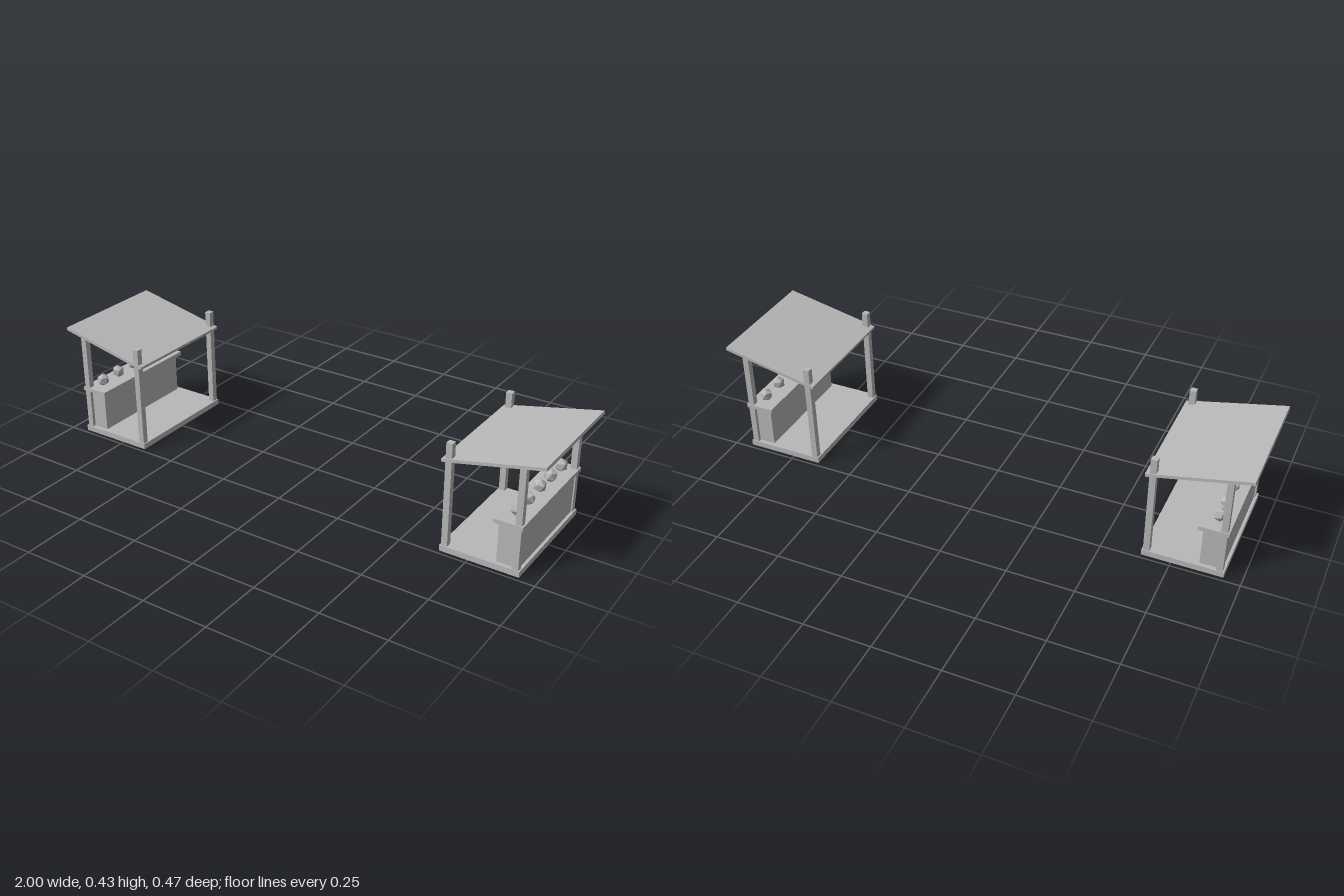
import * as THREE from 'three';

const grey = new THREE.MeshStandardMaterial({ color: 0xb8b8b8, flatShading: true });
grey.name = 'plain grey';

// Box given by its low and high corners
function box(parent, name, [x0, y0, z0], [x1, y1, z1]) {
  const mesh = new THREE.Mesh(new THREE.BoxGeometry(x1 - x0, y1 - y0, z1 - z0), grey);
  mesh.position.set((x0 + x1) / 2, (y0 + y1) / 2, (z0 + z1) / 2);
  mesh.name = name;
  parent.add(mesh);
  return mesh;
}

// One market stall whose counter faces +x
function createStall(name) {
  const stall = new THREE.Group();
  stall.name = name;

  // Floor slab
  box(stall, 'floor', [0.643, 0, -0.234], [0.937, 0.022, 0.234]);

  // Corner posts: the rear pair pokes up through the roof
  for (const side of [-1, 1]) {
    const z0 = side > 0 ? 0.208 : -0.231;
    box(stall, 'rearPost', [0.648, 0.022, z0], [0.671, 0.412, z0 + 0.023]);
    box(stall, 'frontPost', [0.908, 0.022, z0], [0.931, 0.4, z0 + 0.023]);
  }

  // Counter between the front posts
  box(stall, 'counterBody', [0.846, 0.022, -0.218], [0.926, 0.176, 0.218]);
  box(stall, 'counterTop', [0.83, 0.176, -0.234], [0.937, 0.191, 0.234]);

  // Sloping roof
  const roof = box(stall, 'roof', [0.63, 0.3767, -0.234], [1.002, 0.3883, 0.234]);
  roof.rotation.z = 0.211;

  // Row of faceted stones, each turned differently
  const tops = [0.242, 0.237, 0.243, 0.24, 0.238];
  tops.forEach((top, i) => {
    const shape = new THREE.IcosahedronGeometry(0.0265);
    shape.rotateX(0.55 + i * 0.12).rotateY(i * 1.9 + 0.4).scale(0.92, 1, 0.92);
    shape.computeBoundingBox();
    const stone = new THREE.Mesh(shape, grey);
    stone.name = 'stone';
    stone.position.set(0.886, top - shape.boundingBox.max.y, 0.177 - i * 0.0883);
    stall.add(stone);
  });
  return stall;
}

export function createModel() {
  const model = new THREE.Group();
  model.name = 'marketStalls';
  const leftStall = createStall('leftStall');
  const rightStall = createStall('rightStall');
  rightStall.rotation.y = Math.PI;
  model.add(leftStall, rightStall);
  return model;
}
